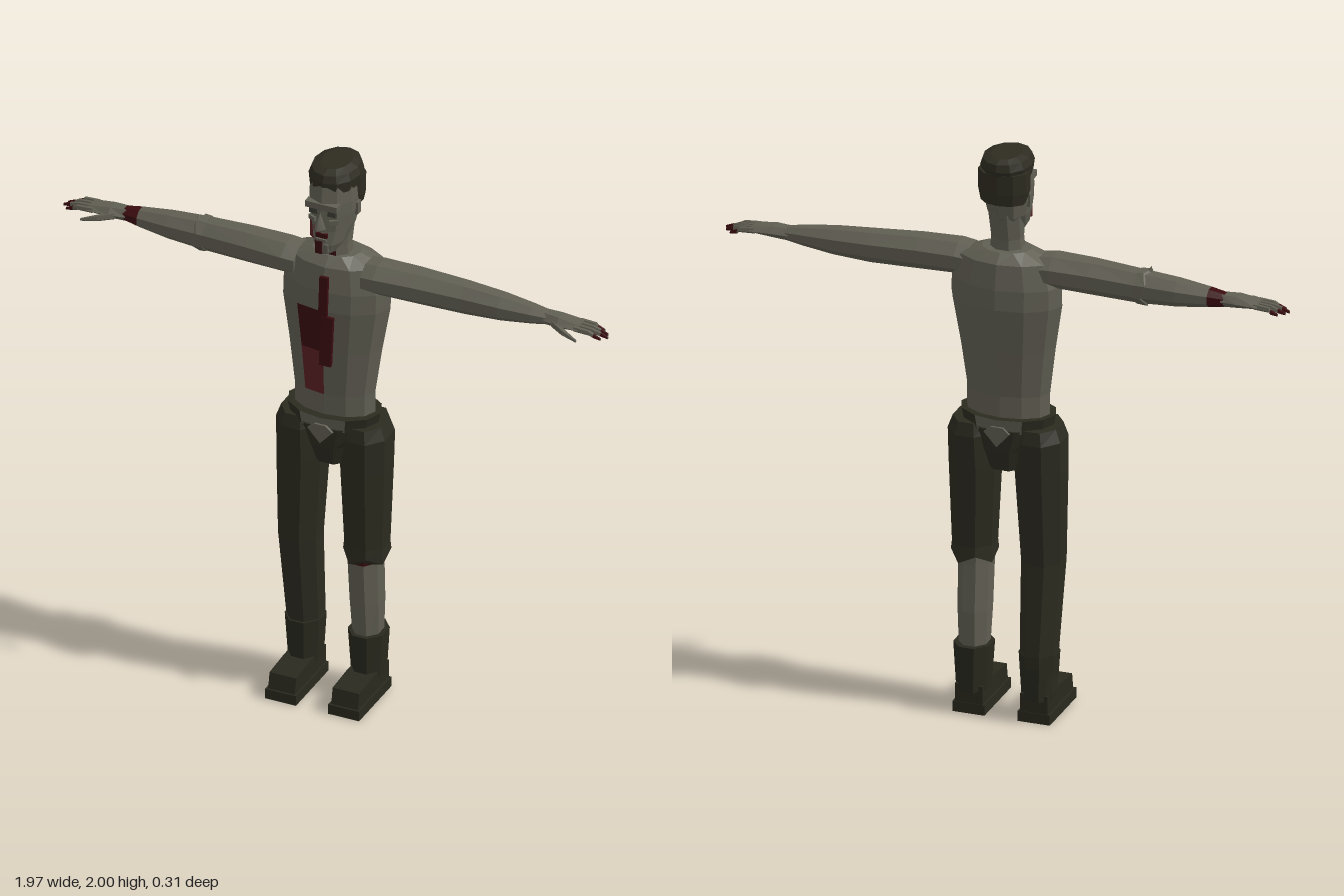
import * as THREE from 'three';

const mat = (name, color) => Object.assign(new THREE.MeshStandardMaterial({ color }), { name });
const skin = mat('skin', 0x615f53);
const cloth = mat('trousers', 0x2c2b20);
const leather = mat('boots', 0x29291e);
const hairMat = mat('hair', 0x2e2c21);
const blood = mat('blood', 0x5a2024);
const darkBlood = mat('dark blood', 0x3a0c0f);
const shade = mat('sunken skin', 0x3f3e35);

// Flat-shaded loft. Sections: [position along axis, c1, c2, r1, r2, jag]
// axis 'y': c = x,z centres; axis 'x': c = y,z centres (positions may run toward -x).
// paint(section, side) picks a material index.
function loft(sections, n, { axis = 'y', offset = 0, paint = () => 0 } = {}) {
  const fit = 1 / Math.cos(offset);
  const rings = sections.map(([p, a, b, ra, rb, jag = 0]) => Array.from({ length: n }, (_, i) => {
    const t = (i / n) * Math.PI * 2 + offset;
    const u = a + ra * fit * Math.cos(t), v = b + rb * fit * Math.sin(t);
    const q = p + jag * (i % 2);
    return axis === 'y' ? [u, q, v] : [q, u, v];
  }));
  const flip = axis === 'x' && sections[1][0] > sections[0][0];
  const pos = [], groups = [];
  const tri = (a, b, c) => pos.push(...a, ...(flip ? c : b), ...(flip ? b : c));
  for (let j = 0; j < rings.length - 1; j++) for (let i = 0; i < n; i++) {
    const k = (i + 1) % n, lo = rings[j], hi = rings[j + 1];
    groups.push([pos.length / 3, 6, paint(j, i)]);
    tri(lo[i], hi[i], lo[k]);
    tri(hi[i], hi[k], lo[k]);
  }
  const capStart = pos.length / 3, first = rings[0], last = rings[rings.length - 1];
  for (let i = 1; i < n - 1; i++) {
    tri(first[0], first[i], first[i + 1]);
    tri(last[0], last[i + 1], last[i]);
  }
  groups.push([capStart, pos.length / 3 - capStart, 0]);
  const g = new THREE.BufferGeometry();
  g.setAttribute('position', new THREE.Float32BufferAttribute(pos, 3));
  g.computeVertexNormals();
  groups.forEach(x => g.addGroup(...x));
  return g;
}

export function createModel() {
  const model = new THREE.Group();
  model.name = 'figure';
  const add = (name, geo, material, parent = model) => {
    const m = new THREE.Mesh(geo, material);
    m.name = name;
    parent.add(m);
    return m;
  };
  const box = (name, w, h, d, x, y, z, material, parent) => {
    const m = add(name, new THREE.BoxGeometry(w, h, d), material, parent);
    m.position.set(x, y, z);
    return m;
  };
  const prism = (pts, depth) => new THREE.ExtrudeGeometry(
    new THREE.Shape(pts.map(p => new THREE.Vector2(...p))), { depth, bevelEnabled: false });
  const E = Math.PI / 8;

  // Torso with a stained panel on the right of the belly
  add('torso', loft([
    [1.02, 0, -0.02, 0.145, 0.085], [1.155, 0, -0.02, 0.145, 0.085], [1.32, 0, -0.027, 0.167, 0.1],
    [1.48, 0, -0.035, 0.193, 0.117], [1.55, 0, -0.036, 0.192, 0.113], [1.635, 0, -0.037, 0.165, 0.096],
    [1.665, 0, -0.035, 0.085, 0.065],
  ], 12, { paint: (j, i) => (i === 3 && j === 1 ? 1 : i === 3 && j === 2 ? 2 : 0) }), [skin, blood, darkBlood]);
  box('upperBloodStrip', 0.03, 0.15, 0.012, 0.016, 1.55, 0.102, darkBlood).rotation.x = -0.07;
  box('lowerBloodStrip', 0.042, 0.175, 0.014, 0.034, 1.395, 0.117, darkBlood).rotation.x = -0.1;

  // Neck and head
  add('neck', loft([[1.64, 0, -0.028, 0.056, 0.05], [1.7, 0, -0.028, 0.05, 0.048],
    [1.8, 0, -0.04, 0.055, 0.06]], 8, { offset: E, paint: (j, i) => (j === 0 && i === 1 ? 1 : 0) }), [skin, darkBlood]);
  const head = new THREE.Group();
  head.name = 'head';
  model.add(head);
  add('skull', loft([
    [1.7, 0, 0.035, 0.03, 0.045], [1.735, 0, 0.015, 0.052, 0.07], [1.785, 0, -0.01, 0.067, 0.088],
    [1.84, 0, -0.018, 0.076, 0.098], [1.885, 0, -0.018, 0.077, 0.1], [1.95, 0, -0.022, 0.074, 0.095],
  ], 10, { offset: Math.PI / 10, paint: (j, i) => (i === 3 && j < 2 ? 1 : 0) }), [skin, darkBlood], head);
  const nose = add('nose', new THREE.ConeGeometry(0.02, 0.06, 4), skin, head);
  nose.position.set(0, 1.835, 0.093);
  nose.scale.z = 1.4;
  box('brow', 0.115, 0.022, 0.03, 0, 1.883, 0.075, skin, head);
  box('mouth', 0.04, 0.016, 0.012, 0, 1.772, 0.081, darkBlood, head);
  box('lowerLip', 0.034, 0.01, 0.016, 0, 1.757, 0.083, skin, head);
  box('chin', 0.045, 0.03, 0.022, 0, 1.725, 0.076, skin, head);
  box('chinBlood', 0.024, 0.05, 0.008, -0.008, 1.73, 0.087, darkBlood, head);
  for (const s of [1, -1]) {
    box('eyeSocket', 0.032, 0.018, 0.012, s * 0.032, 1.855, 0.072, shade, head);
    const cheek = box('cheek', 0.03, 0.016, 0.02, s * 0.036, 1.825, 0.068, skin, head);
    cheek.rotation.y = s * 0.5;
    box('ear', 0.012, 0.045, 0.025, s * 0.077, 1.84, -0.03, skin, head);
  }
  box('cheekBlood', 0.03, 0.07, 0.008, -0.043, 1.778, 0.057, blood, head).rotation.y = -0.65;

  // Hair: overhanging crown over a shorter back
  add('hairBack', loft([[1.84, 0, -0.066, 0.074, 0.052], [1.88, 0, -0.06, 0.083, 0.064],
    [1.95, 0, -0.058, 0.084, 0.068]], 10, { offset: Math.PI / 10 }), hairMat, head);
  add('hairCrown', loft([[1.927, 0, -0.022, 0.08, 0.098], [1.965, 0, -0.03, 0.087, 0.107],
    [1.99, 0, -0.032, 0.078, 0.1], [2, 0, -0.035, 0.05, 0.07]], 12), hairMat, head);

  // Arms, hands and fingers
  for (const s of [1, -1]) {
    const side = s > 0 ? 'left' : 'right';
    const limb = (name, secs, n, paint) => add(side + name,
      loft(secs.map(([x, ...r]) => [s * x, ...r]), n, { axis: 'x', offset: Math.PI / n, paint }), [skin, darkBlood]);
    limb('Arm', [
      [0.12, 1.6, -0.025, 0.05, 0.07], [0.165, 1.602, -0.023, 0.054, 0.072], [0.3, 1.6, -0.028, 0.055, 0.064],
      [0.47, 1.594, -0.035, 0.052, 0.054], [0.6, 1.593, -0.036, 0.044, 0.048], [0.71, 1.593, -0.037, 0.031, 0.035],
      [0.765, 1.593, -0.038, 0.022, 0.026],
    ], 8, j => (s < 0 && j === 5 ? 1 : 0));
    limb('Palm', [[0.755, 1.593, -0.038, 0.021, 0.026], [0.81, 1.595, -0.034, 0.019, 0.034],
      [0.885, 1.593, -0.034, 0.011, 0.034]], 6);
    [0.955, 0.975, 0.983, 0.965].forEach((tip, i) => {
      const z = -0.06 + i * 0.018;
      limb('Finger', [[0.87, 1.593, z, 0.009, 0.008], [0.925, 1.59, z * 1.04, 0.008, 0.007],
        [tip - 0.025, 1.583, z * 1.06, 0.007, 0.006], [tip, 1.576, z * 1.06, 0.004, 0.004]], 5, j => (j === 2 ? 1 : 0));
    });
    limb('Thumb', [[0.79, 1.59, -0.012, 0.011, 0.012], [0.84, 1.583, 0.016, 0.01, 0.01],
      [0.895, 1.573, 0.034, 0.004, 0.004]], 5);
  }
  // Torn cuff above the right elbow
  add('tornCuff', loft([[-0.462, 1.594, -0.035, 0.055, 0.057], [-0.5, 1.594, -0.035, 0.057, 0.058, 0.015]],
    8, { axis: 'x', offset: E }), skin);
  const tear = add('cuffTear', new THREE.ConeGeometry(0.016, 0.045, 4), skin);
  tear.position.set(-0.494, 1.645, -0.025);
  tear.rotation.z = 0.35;

  // Trouser seat and waistband, open at front and back
  add('trouserSeat', loft([[0.885, 0, -0.02, 0.065, 0.07], [0.96, 0, -0.02, 0.09, 0.095],
    [1.04, 0, -0.018, 0.14, 0.104]], 8, { offset: E }), cloth);
  add('waistband', loft([[1.03, 0, -0.018, 0.155, 0.104], [1.08, 0, -0.018, 0.165, 0.112]], 12,
    { paint: (j, i) => (i === 2 || i === 3 || i === 8 || i === 9 ? 1 : 0) }), [cloth, skin]);
  for (const z of [0.088, -0.133]) {
    add('waistNotch', prism([[-0.045, 1.035], [0, 0.985], [0.045, 1.035], [0.02, 1.055], [-0.02, 1.055]], 0.009), skin)
      .position.z = z;
  }

  // Trouser legs: the left one is torn off at the knee
  add('rightTrouserLeg', loft([
    [0.1, -0.115, -0.04, 0.054, 0.062], [0.24, -0.115, -0.04, 0.058, 0.068], [0.56, -0.12, -0.012, 0.068, 0.075],
    [0.88, -0.115, -0.02, 0.08, 0.09], [1, -0.117, -0.024, 0.079, 0.096], [1.045, -0.115, -0.024, 0.065, 0.085],
  ], 8, { offset: E }), cloth);
  add('leftTrouserLeg', loft([
    [0.53, 0.12, -0.012, 0.072, 0.078, 0.03], [0.59, 0.12, -0.012, 0.069, 0.075],
    [0.88, 0.115, -0.02, 0.08, 0.09], [1, 0.117, -0.024, 0.079, 0.096], [1.045, 0.115, -0.024, 0.065, 0.085],
  ], 8, { offset: E }), cloth);
  add('leftShin', loft([
    [0.2, 0.113, -0.035, 0.046, 0.052], [0.36, 0.113, -0.028, 0.052, 0.065],
    [0.525, 0.114, -0.014, 0.054, 0.067], [0.57, 0.115, -0.012, 0.056, 0.068],
  ], 8, { offset: E, paint: (j, i) => (j === 2 && (i === 0 || i === 1) ? 1 : 0) }), [skin, darkBlood]);

  // Boots: shaft, sloping foot and sole
  for (const s of [1, -1]) {
    const boot = new THREE.Group();
    boot.name = s > 0 ? 'leftBoot' : 'rightBoot';
    boot.position.x = s * 0.114;
    model.add(boot);
    add('shaft', loft([[0.08, 0, -0.038, 0.052, 0.066], [0.24, 0, -0.036, 0.062, 0.071]], 8, { offset: E }), leather, boot);
    const foot = prism([[-0.088, 0.03], [0.15, 0.03], [0.138, 0.092], [0.03, 0.1], [-0.088, 0.1]], 0.096);
    add('foot', foot.rotateY(-Math.PI / 2).translate(0.048, 0, 0), leather, boot);
    box('sole', 0.112, 0.036, 0.246, 0, 0.018, 0.033, leather, boot);
  }
  return model;
}
